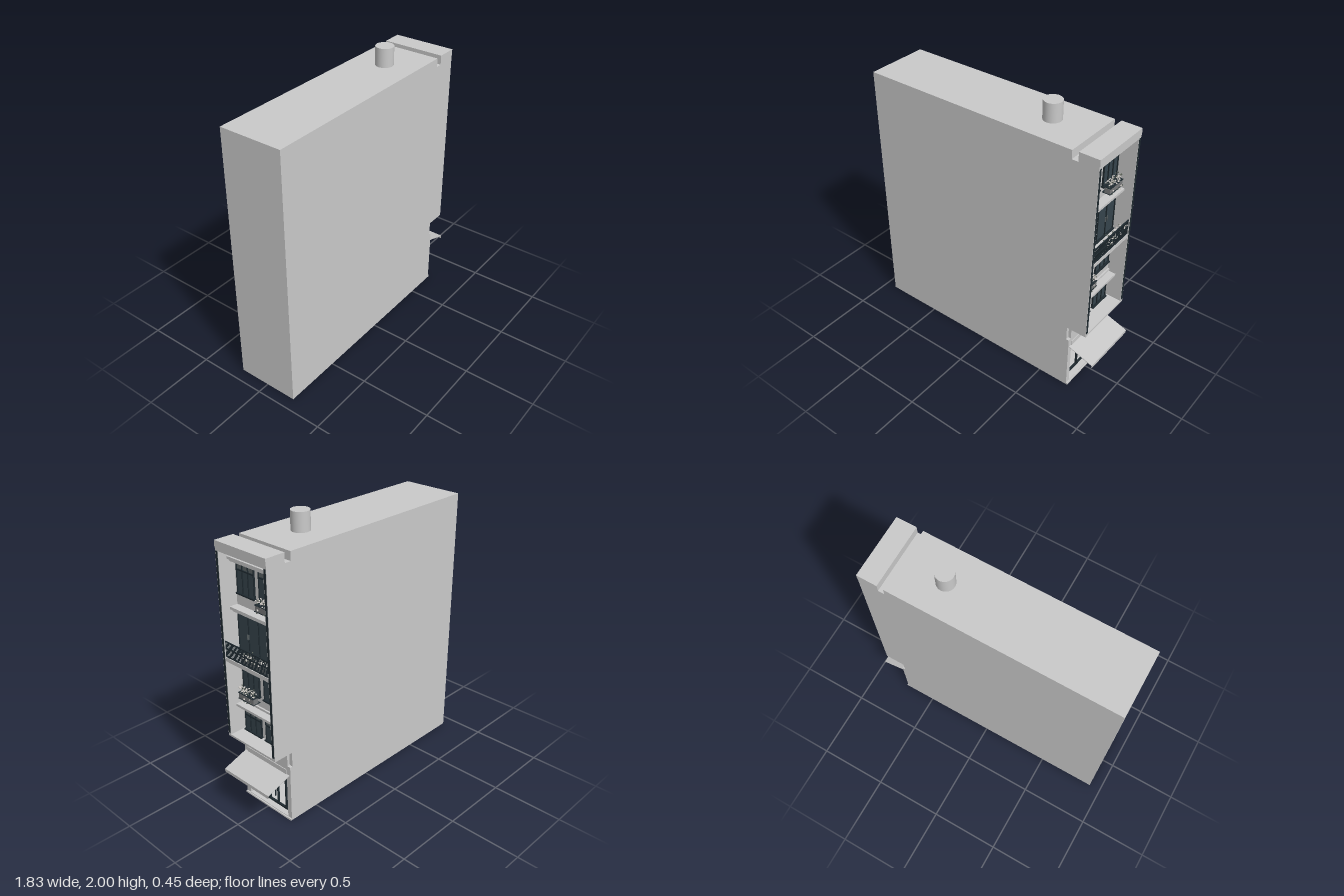
import * as THREE from 'three';

const mat = (name, color, side = THREE.FrontSide) => {
  const m = new THREE.MeshStandardMaterial({ color, side });
  m.name = name;
  return m;
};

export function createModel() {
  const wall = mat('wall grey', 0xcacaca);
  const awning = mat('awning grey', 0xc6c6c6, THREE.DoubleSide);
  const dark = mat('dark frame', 0x1f2a30);
  const glass = mat('window glass', 0x36444c);
  const transom = mat('transom glass', 0x5b6365);
  const planter = mat('planter grey', 0x77797a);
  const bloom = mat('pale blossom', 0xd2cdc8);
  const leaf = mat('dull leaf', 0x5f665c);

  const root = new THREE.Group();
  root.name = 'townhouse';
  const group = (name) => {
    const g = new THREE.Group();
    g.name = name;
    root.add(g);
    return g;
  };
  // Box given by its limits on each axis
  const box = (parent, name, m, x0, x1, y0, y1, z0, z1) => {
    const mesh = new THREE.Mesh(new THREE.BoxGeometry(x1 - x0, y1 - y0, Math.abs(z1 - z0)), m);
    mesh.position.set((x0 + x1) / 2, (y0 + y1) / 2, (z0 + z1) / 2);
    mesh.name = name;
    parent.add(mesh);
    return mesh;
  };

  const F = 0.73;      // plane of the recessed facade
  const FRONT = 0.85;  // front of the projecting frame
  const W = 0.225;     // half width of the house

  // Side profile of the mass: shop recess, overhang, facade recess, roof slot
  const profile = [
    [-0.915, 0], [0.45, 0], [0.45, 0.36], [0.725, 0.36], [0.725, 0.42], [0.705, 0.42],
    [0.705, 0.525], [FRONT, 0.525], [FRONT, 0.54], [F, 0.54], [F, 1.81], [FRONT, 1.81],
    [FRONT, 1.875], [0.71, 1.875], [0.71, 1.81], [0.665, 1.81], [0.665, 1.87], [-0.915, 1.87],
  ].map(([x, y]) => new THREE.Vector2(x, y));
  const bodyGeo = new THREE.ExtrudeGeometry(new THREE.Shape(profile), { depth: 2 * W, bevelEnabled: false });
  bodyGeo.translate(0, 0, -W);
  const body = new THREE.Mesh(bodyGeo, wall);
  body.name = 'houseBody';
  root.add(body);

  // Chimney
  const chimney = new THREE.Mesh(new THREE.CylinderGeometry(0.062, 0.062, 0.14, 32), wall);
  chimney.position.set(0.37, 1.93, 0);
  chimney.name = 'chimney';
  root.add(chimney);

  // Side fins of the frame with dark front strips, and shop piers
  const frame = group('facadeFrame');
  for (const s of [1, -1]) {
    box(frame, 'sideFin', wall, F - 0.01, FRONT, 0.535, 1.815, s * 0.2, s * W);
    box(frame, 'finStrip', dark, FRONT, FRONT + 0.002, 0.55, 1.81, s * 0.204, s * 0.221);
    box(frame, 'shopPier', wall, 0.44, 0.725, 0, 0.365, s * 0.19, s * W);
    box(frame, 'pierFoot', wall, 0.725, 0.735, 0, 0.014, s * 0.19, s * W);
  }
  box(frame, 'topBand', wall, FRONT, FRONT + 0.003, 1.83, 1.875, -W, W);
  box(frame, 'fascia', wall, 0.7, 0.725, 0.415, 0.527, -0.2, 0.2);
  box(frame, 'signBoard', wall, 0.725, 0.73, 0.355, 0.39, -0.19, 0.19);

  // Stepped ledges above each row of windows
  const ledges = group('ledges');
  for (const y of [0.712, 1.042, 1.4, 1.728]) {
    box(ledges, 'ledgeLower', wall, F - 0.005, 0.77, y, y + 0.02, -0.2, 0.2);
    box(ledges, 'ledgeUpper', wall, F - 0.005, 0.79, y + 0.02, y + 0.037, -0.2, 0.2);
  }
  for (const y of [0.755, 1.785]) box(ledges, 'moulding', wall, F - 0.005, F + 0.012, y, y + 0.015, -0.2, 0.2);

  // Glazed unit with frame, mullions and an upper transom row
  const glazing = (name, y0, y1, zc, w, panes, tr) => {
    const g = group(name);
    const a = zc - w / 2, b = zc + w / 2, x1 = F + 0.012, t = 0.004;
    box(g, 'panes', glass, F, F + 0.004, y0, y1 - tr, a, b);
    if (tr) {
      box(g, 'transomPanes', transom, F, F + 0.004, y1 - tr, y1, a, b);
      box(g, 'transomBar', dark, F, x1, y1 - tr - t, y1 - tr + t, a, b);
    }
    for (let i = 0; i <= panes; i++) {
      const z = a + (w * i) / panes;
      box(g, 'mullion', dark, F, x1, y0, y1, z - t / 2, z + t / 2);
    }
    box(g, 'headBar', dark, F, x1, y1 - t, y1, a, b);
    box(g, 'sill', dark, F, F + 0.02, y0 - 0.002, y0 + 0.008, a - 0.006, b + 0.006);
  };
  for (const [y0, y1] of [[0.542, 0.7], [0.842, 1.037], [1.517, 1.715]])
    for (const s of [1, -1]) glazing('window', y0, y1, s * 0.1, 0.155, 3, 0.04);
  glazing('balconyDoor', 1.11, 1.396, 0, 0.38, 4, 0);
  for (const z of [0.09, 0.1, -0.08, -0.1]) box(root, 'doorHandle', transom, F + 0.012, F + 0.018, 1.23, 1.265, z - 0.002, z + 0.002);

  // Seeded scatter of blossoms and leaves
  let seed = 7;
  const rnd = () => (seed = (seed * 16807) % 2147483647) / 2147483647;
  const bud = new THREE.IcosahedronGeometry(0.005, 0);
  const flowers = (parent, n, x0, x1, y0, y1, z0, z1) => {
    for (let i = 0; i < n; i++) {
      const m = new THREE.Mesh(bud, i % 3 ? bloom : leaf);
      m.position.set(x0 + rnd() * (x1 - x0), y0 + rnd() * (y1 - y0), z0 + rnd() * (z1 - z0));
      m.rotation.set(rnd() * 3, rnd() * 3, 0);
      m.name = i % 3 ? 'blossom' : 'leaf';
      parent.add(m);
    }
  };

  // Window boxes
  for (const [y, z] of [[0.8, 0.103], [1.475, -0.103]]) {
    const g = group('flowerBox');
    box(g, 'planter', planter, F + 0.015, F + 0.055, y, y + 0.038, z - 0.07, z + 0.07);
    for (const dy of [0, 0.042]) box(g, 'planterRail', dark, F, F + 0.06, y + dy, y + dy + 0.003, z - 0.073, z + 0.073);
    flowers(g, 80, F + 0.012, F + 0.058, y + 0.042, y + 0.085, z - 0.068, z + 0.068);
    flowers(g, 8, F + 0.058, F + 0.062, y - 0.02, y + 0.03, z - 0.06, z + 0.06);
  }

  // Balcony with railing and flowers
  const balcony = group('balcony');
  box(balcony, 'balconySlab', wall, F - 0.005, FRONT - 0.002, 1.083, 1.11, -0.2, 0.2);
  for (const y of [1.114, 1.17, 1.216]) box(balcony, 'rail', dark, 0.838, 0.846, y, y + 0.006, -0.2, 0.2);
  for (let i = 0; i <= 36; i++) {
    const z = -0.198 + i * 0.011;
    box(balcony, 'baluster', dark, 0.84, 0.844, 1.11, 1.218, z - 0.0017, z + 0.0017);
  }
  box(balcony, 'planter', planter, 0.8, 0.832, 1.115, 1.155, -0.185, 0.07);
  flowers(balcony, 110, 0.8, 0.85, 1.155, 1.2, -0.185, 0.04);

  // Shop front: floor, dark bars, door handles
  const shop = group('shopFront');
  box(shop, 'shopFloor', wall, 0.44, 0.725, 0, 0.014, -0.2, 0.2);
  box(shop, 'doorStep', wall, 0.725, 0.735, 0, 0.01, -0.19, 0.19);
  for (const [y, h] of [[0.014, 0.012], [0.262, 0.01], [0.352, 0.008]])
    box(shop, 'crossBar', dark, 0.67, 0.685, y, y + h, -0.19, 0.19);
  for (const z of [0.187, 0.036, -0.046, -0.125, -0.187])
    box(shop, 'upright', dark, 0.67, 0.685, 0.014, 0.36, z - 0.004, z + 0.004);
  for (const z of [-0.032, -0.058]) box(shop, 'shopHandle', dark, 0.685, 0.695, 0.08, 0.15, z - 0.0015, z + 0.0015);

  // Sloping awning with a short valance
  const slope = new THREE.Shape([
    [0.725, 0.355], [0.91, 0.293], [0.91, 0.27], [0.907, 0.27], [0.907, 0.289], [0.725, 0.35],
  ].map(([x, y]) => new THREE.Vector2(x, y)));
  const awnGeo = new THREE.ExtrudeGeometry(slope, { depth: 0.43, bevelEnabled: false });
  awnGeo.translate(0, 0, -0.215);
  const awn = new THREE.Mesh(awnGeo, awning);
  awn.name = 'awning';
  root.add(awn);

  return root;
}
